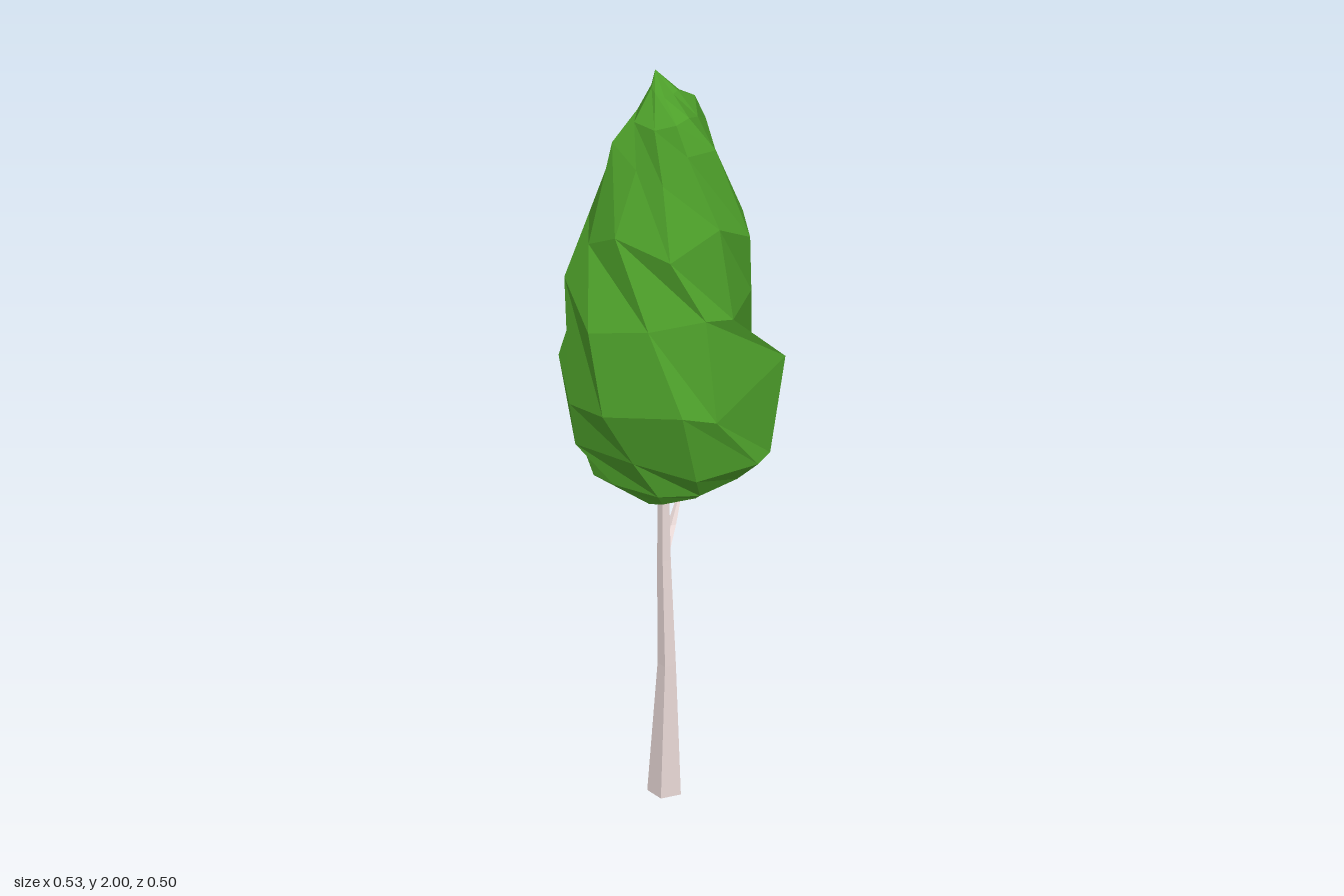
import * as THREE from 'three';

// Flat-shaded surface through rings of points, closed at both ends
function loft(rings, bottom, top, color) {
  const pos = [], index = [], n = rings[0].length;
  rings.forEach(r => r.forEach(p => pos.push(...p)));
  for (let i = 0; i < rings.length - 1; i++) {
    for (let j = 0; j < n; j++) {
      const a = i * n + j, b = i * n + (j + 1) % n, c = a + n, d = b + n;
      index.push(a, b, c, b, d, c); // diagonals lean with the twist
    }
  }
  const base = rings.length * n, last = base - n;
  pos.push(...bottom, ...top);
  for (let j = 0; j < n; j++) {
    const k = (j + 1) % n;
    index.push(base, k, j, base + 1, last + j, last + k);
  }
  const indexed = new THREE.BufferGeometry();
  indexed.setAttribute('position', new THREE.Float32BufferAttribute(pos, 3));
  indexed.setIndex(index);
  const geometry = indexed.toNonIndexed();
  geometry.computeVertexNormals();
  return new THREE.Mesh(geometry, new THREE.MeshStandardMaterial({ color, flatShading: true }));
}

// Tapered five-sided limb: sections of [x, y, z, radius]
function limb(name, sections, color) {
  const rings = sections.map(([x, y, z, r]) => Array.from({ length: 5 }, (_, j) => {
    const t = j / 5 * Math.PI * 2 + 0.2;
    return [x + r * Math.sin(t), y, z + r * Math.cos(t)];
  }));
  const mesh = loft(rings, sections[0].slice(0, 3), sections.at(-1).slice(0, 3), color);
  mesh.name = name;
  return mesh;
}

function createCrown() {
  let seed = 29;
  const rand = () => (seed = (seed * 16807) % 2147483647) / 2147483647 - 0.5;
  // Widest ring, with its uneven corners
  const widest = [
    [-0.05, 1.17, 0.25], [0.15, 1.20, 0.22], [0.21, 1.17, 0.155], [0.265, 1.23, -0.11],
    [0.125, 1.20, -0.21], [0.04, 1.16, -0.24], [-0.145, 1.23, -0.253], [-0.225, 1.22, -0.16],
    [-0.265, 1.18, 0.05], [-0.17, 1.14, 0.185],
  ];
  // Other rings: height, left and right x, back and front z, unevenness of height
  const outline = [
    [0.86, -0.12, 0.10, -0.16, 0.11, 0.02],
    [0.91, -0.17, 0.17, -0.19, 0.165, 0.03],
    [1.00, -0.24, 0.255, -0.20, 0.19, 0.05],
    null,
    [1.41, -0.235, 0.215, -0.225, 0.23, 0.08],
    [1.62, -0.205, 0.195, -0.185, 0.165, 0.11],
    [1.81, -0.13, 0.125, -0.12, 0.105, 0.09],
    [1.91, -0.075, 0.075, -0.075, 0.08, 0.04],
    [1.965, -0.045, 0.025, -0.045, 0.02, 0.02],
  ];
  const sides = widest.length;
  const rings = outline.map((section, i) => {
    if (!section) return widest;
    const [y, x0, x1, z0, z1, wobble] = section;
    return Array.from({ length: sides }, (_, j) => {
      const t = (j - 0.3 + rand() * 0.5 - (i - 3) * 0.42) / sides * Math.PI * 2;
      const r = 1.01 + rand() * 0.18;
      return [
        (x0 + x1) / 2 + (x1 - x0) / 2 * r * Math.sin(t),
        y + rand() * wobble,
        (z0 + z1) / 2 + (z1 - z0) / 2 * r * Math.cos(t),
      ];
    });
  });
  const crown = loft(rings, [0, 0.83, -0.02], [-0.045, 2, -0.03], 0x4d9f2a);
  crown.name = 'crown';
  return crown;
}

export function createModel() {
  const tree = new THREE.Group();
  tree.name = 'tree';
  const bark = 0xe6d6d4;
  // Slightly bent trunk
  tree.add(limb('trunk', [
    [0.001, 0, 0.008, 0.044],
    [0.006, 0.36, 0.007, 0.024],
    [-0.004, 0.65, 0.003, 0.018],
    [-0.007, 0.88, 0, 0.014],
  ], bark));
  // Small bare branch on the back
  tree.add(limb('branch', [
    [-0.008, 0.655, 0, 0.014],
    [-0.017, 0.706, -0.066, 0.011],
    [-0.017, 0.772, -0.111, 0.005],
  ], bark));
  tree.add(createCrown());
  return tree;
}
